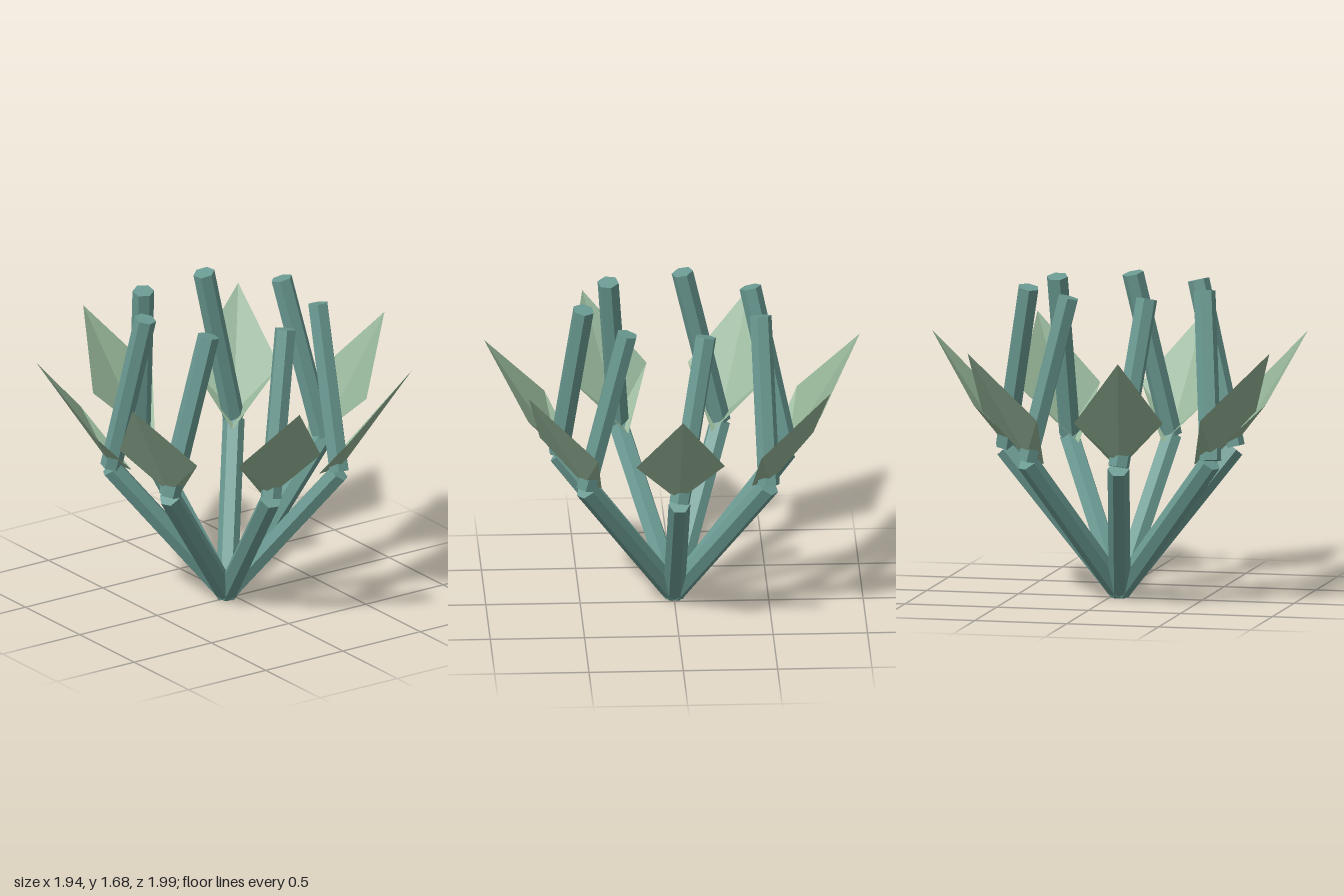
import * as THREE from 'three';

const ARMS = 7;

// Six-sided stalk between two points, with corners square to its lean
function makeStalk(name, from, to, radius, material) {
  const d = new THREE.Vector3().subVectors(to, from);
  const stalk = new THREE.Mesh(
    new THREE.CylinderGeometry(radius, radius, d.length(), 6), material);
  stalk.name = name;
  stalk.position.addVectors(from, to).multiplyScalar(0.5);
  stalk.rotation.order = 'YZX';
  stalk.rotation.y = -Math.atan2(d.z, d.x);
  stalk.rotation.z = -Math.atan2(Math.hypot(d.x, d.z), d.y);
  return stalk;
}

// Diamond leaf: four flat facets around a keel point at the joint
function makeLeafGeometry() {
  const tip = [1.022, 1.4, 0];
  const sideA = [0.74, 1.04, 0.235];
  const sideB = [0.74, 1.04, -0.235];
  const heel = [0.51, 0.76, 0];
  const keel = [0.63, 0.81, 0];
  const rim = [tip, sideB, heel, sideA];
  const points = rim.flatMap((p, i) => [...p, ...rim[(i + 1) % 4], ...keel]);
  const geometry = new THREE.BufferGeometry();
  geometry.setAttribute('position', new THREE.Float32BufferAttribute(points, 3));
  geometry.computeVertexNormals();
  return geometry;
}

export function createModel() {
  const stalkMaterial = new THREE.MeshStandardMaterial({ color: 0x6a9a92, flatShading: true });
  stalkMaterial.name = 'teal stalk';
  const leafMaterial = new THREE.MeshStandardMaterial({
    color: 0x93b296, flatShading: true, side: THREE.DoubleSide });
  leafMaterial.name = 'sage leaf';

  const root = new THREE.Vector3(0, 0.034, 0);
  const joint = new THREE.Vector3(0.62, 0.78, 0);
  const crown = new THREE.Vector3(0.46, 1.667, -0.148);
  const leafGeometry = makeLeafGeometry();

  const model = new THREE.Group();
  model.name = 'plant';

  // Seven equal arms around the root
  for (let i = 0; i < ARMS; i++) {
    const arm = new THREE.Group();
    arm.name = 'arm' + (i + 1);
    arm.rotation.y = -i * Math.PI * 2 / ARMS;
    arm.position.x = -0.05;

    const leaf = new THREE.Mesh(leafGeometry, leafMaterial);
    leaf.name = 'leaf';
    arm.add(
      makeStalk('lowerStalk', root, joint, 0.058, stalkMaterial),
      makeStalk('upperStalk', joint.clone().setY(0.79), crown, 0.058, stalkMaterial),
      leaf);
    model.add(arm);
  }
  return model;
}
